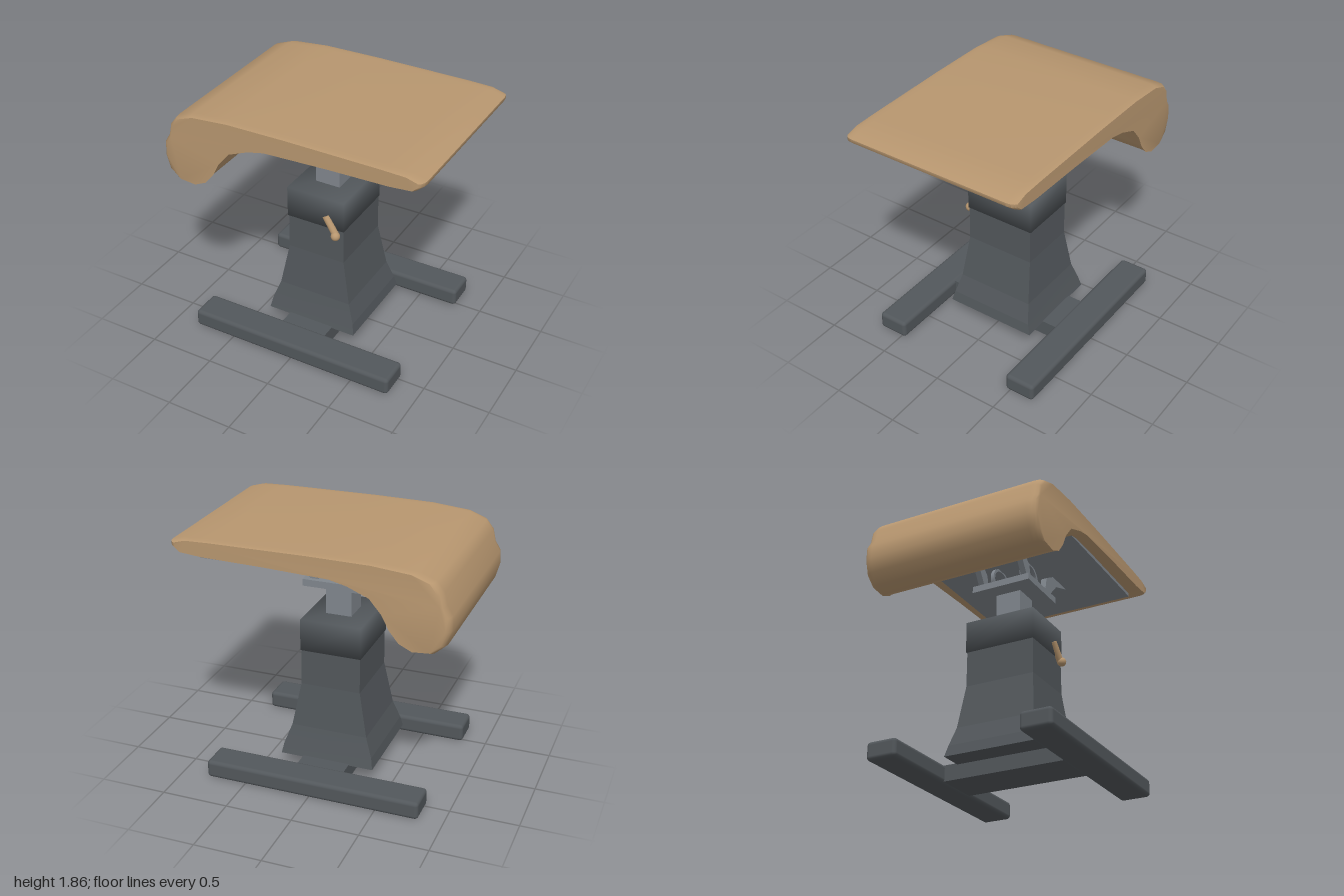
import * as THREE from 'three';
import { mergeVertices, toCreasedNormals } from 'three/addons/utils/BufferGeometryUtils.js';
import { RoundedBoxGeometry } from 'three/addons/geometries/RoundedBoxGeometry.js';

const material = (name, color) => {
  const m = new THREE.MeshStandardMaterial({ color });
  m.name = name;
  return m;
};

const shapeOf = (points) => new THREE.Shape(points.map(([x, y]) => new THREE.Vector2(x, y)));

export function createModel() {
  const model = new THREE.Group();
  model.name = 'adjustableTable';
  const tan = material('tan', 0xb7966f);
  const dark = material('darkGrey', 0x52575b);
  const steel = material('steelGrey', 0x80868d);

  const add = (name, geometry, mat, x = 0, y = 0, z = 0) => {
    const mesh = new THREE.Mesh(geometry, mat);
    mesh.name = name;
    mesh.position.set(x, y, z);
    model.add(mesh);
    return mesh;
  };
  // box given by its extents
  const box = (name, mat, [x0, x1], [y0, y1], [z0, z1]) => add(name,
    new THREE.BoxGeometry(x1 - x0, y1 - y0, z1 - z0), mat, (x0 + x1) / 2, (y0 + y1) / 2, (z0 + z1) / 2);

  // Curled top: one side profile swept along z, drawn in at both ends
  const profile = [
    [1, 1.82], [1, 1.795], [0.955, 1.755], [0.79, 1.74], [0.33, 1.73], [-0.17, 1.71],
    [-0.3, 1.68], [-0.46, 1.615], [-0.55, 1.51], [-0.605, 1.405], [-0.675, 1.32],
    [-0.77, 1.275], [-0.895, 1.285], [-0.97, 1.35], [-1, 1.455], [-0.995, 1.555],
    [-0.955, 1.62], [-0.935, 1.71], [-0.88, 1.78], [-0.755, 1.825], [-0.47, 1.85],
    [0, 1.855], [0.73, 1.85], [0.91, 1.845],
  ];
  const top = new THREE.ExtrudeGeometry(shapeOf(profile.reverse()), { depth: 7, steps: 7, bevelEnabled: false });
  const stations = [0.685, 0.675, 0.655, 0.62];
  const scalesX = [0.965, 0.98, 0.994, 1];
  const scalesY = [0.975, 0.986, 0.995, 1];
  const tp = top.attributes.position;
  for (let i = 0; i < tp.count; i++) {
    const layer = Math.round(tp.getZ(i));
    const k = Math.min(layer, 7 - layer);
    tp.setXYZ(i, tp.getX(i) * scalesX[k],
      1.62 + (tp.getY(i) - 1.62) * scalesY[k], stations[k] * (layer < 4 ? -1 : 1));
  }
  add('tableTop', toCreasedNormals(top, 0.85), tan);

  // Support under the top
  box('mountingPlate', steel, [-0.3, 0.815], [1.693, 1.72], [-0.593, 0.593]);
  box('headPlate', steel, [-0.23, 0.21], [1.437, 1.488], [-0.235, 0.235]);
  box('column', steel, [-0.107, 0.087], [1.15, 1.45], [-0.1, 0.1]);

  const brackets = {
    rightBracket: [[-0.38, 1.69], [-0.29, 1.645], [-0.185, 1.485], [-0.125, 1.485], [-0.15, 1.6], [-0.26, 1.7]],
    leftBracket: [[0.48, 1.695], [0.3, 1.63], [0.16, 1.485], [0.105, 1.485], [0.135, 1.63], [0.25, 1.695]],
  };
  const ring = new THREE.Shape().absarc(0, 0, 0.128, 0, Math.PI * 2);
  ring.holes.push(new THREE.Path().absarc(0, 0, 0.106, 0, Math.PI * 2, true));
  const ringGeometry = toCreasedNormals(
    new THREE.ExtrudeGeometry(ring, { depth: 0.026, bevelEnabled: false, curveSegments: 16 }), 0.6);
  ringGeometry.scale(1, 0.86, 1);
  for (const side of [-1, 1]) {
    add('supportRing', ringGeometry, steel, -0.008, 1.592, side * 0.122 - 0.013);
    for (const [name, points] of Object.entries(brackets)) {
      add(name, new THREE.ExtrudeGeometry(shapeOf(points), { depth: 0.045, bevelEnabled: false }),
        steel, 0, 0, side * 0.178 - 0.0225);
    }
  }

  // Softly shaded collar
  let collar = new THREE.BoxGeometry(0.46, 0.24, 0.55);
  collar.deleteAttribute('normal');
  collar.deleteAttribute('uv');
  collar = mergeVertices(collar);
  collar.computeVertexNormals();
  add('collar', collar, dark, -0.013, 1.07, 0);

  // Flared pedestal: stacked rectangles [y, half width, half depth]
  const levels = [
    [0.118, 0.358, 0.36], [0.2, 0.342, 0.337], [0.345, 0.29, 0.303], [0.68, 0.226, 0.27], [0.96, 0.224, 0.268],
  ];
  const body = new THREE.BoxGeometry(2, levels.length - 1, 2, 1, levels.length - 1, 1);
  const bp = body.attributes.position;
  for (let i = 0; i < bp.count; i++) {
    const [y, hx, hz] = levels[Math.round(bp.getY(i) + (levels.length - 1) / 2)];
    bp.setXYZ(i, bp.getX(i) * hx, y, bp.getZ(i) * hz);
  }
  add('pedestal', toCreasedNormals(body, 0.05), dark, -0.011, 0, 0);

  // Feet and crossbar
  for (const side of [-1, 1]) {
    add('foot', new RoundedBoxGeometry(1.625, 0.135, 0.235, 3, 0.028), dark, -0.01, 0.0675, side * 0.58);
  }
  box('crossbar', dark, [-0.19, 0.17], [0.008, 0.128], [-0.5, 0.5]);

  // Locking lever on the front of the collar
  const from = new THREE.Vector3(0.075, 1.045, 0.277);
  const to = new THREE.Vector3(0.165, 0.915, 0.29);
  const lever = add('leverRod', new THREE.CylinderGeometry(0.026, 0.026, from.distanceTo(to), 16), tan);
  lever.position.lerpVectors(from, to, 0.5);
  lever.quaternion.setFromUnitVectors(new THREE.Vector3(0, 1, 0), from.clone().sub(to).normalize());
  add('leverKnob', new THREE.SphereGeometry(0.034, 20, 14), tan, 0.165, 0.915, 0.3);

  return model;
}
